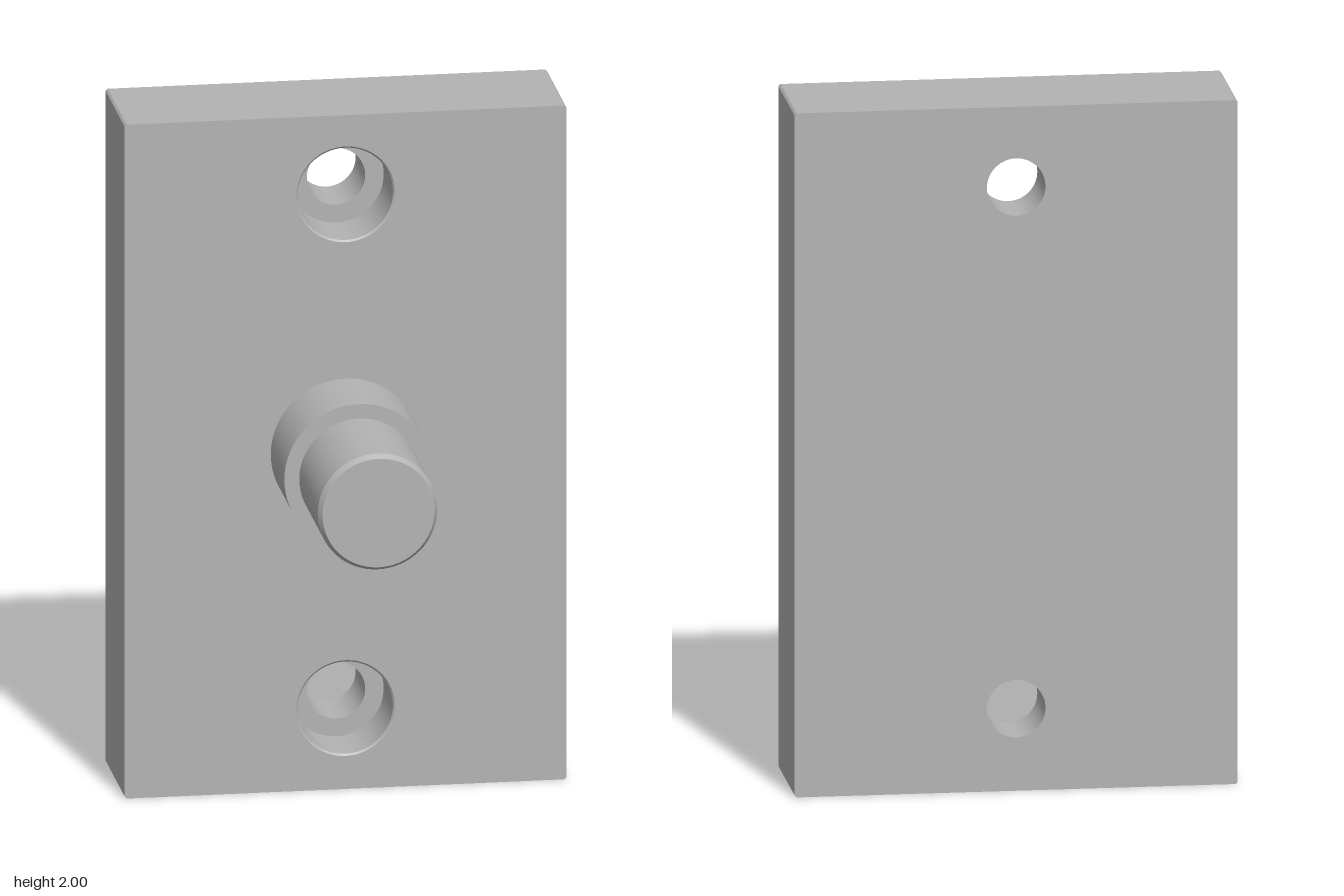
import * as THREE from 'three';
import { mergeGeometries } from 'three/addons/utils/BufferGeometryUtils.js';

const W = 0.635, H = 2, BACK = -0.49, FRONT = -0.13;
const HOLES = [0.24, 1.765];
const BORE = 0.142, THROUGH = 0.084, EDGE = 0.006;

// Revolves a profile of [radius, z] about the z axis, with sharp edges between segments.
// Increasing z faces outward, decreasing z faces inward.
function turned(profile) {
  const bands = [];
  for (let i = 0; i < profile.length - 1; i++) {
    const pts = [profile[i], profile[i + 1]].map(([r, z]) => new THREE.Vector2(r, z));
    bands.push(new THREE.LatheGeometry(pts, 64));
  }
  return mergeGeometries(bands).rotateX(Math.PI / 2);
}

// Rectangle with slightly broken corners, pierced by holes of the given radius
function outline(radius) {
  const s = new THREE.Shape();
  s.moveTo(-W + EDGE, 0).lineTo(W - EDGE, 0).lineTo(W, EDGE).lineTo(W, H - EDGE);
  s.lineTo(W - EDGE, H).lineTo(-W + EDGE, H).lineTo(-W, H - EDGE).lineTo(-W, EDGE);
  s.closePath();
  if (radius) {
    for (const y of HOLES) s.holes.push(new THREE.Path().absarc(0, y, radius, 0, Math.PI * 2, true));
  }
  return s;
}

export function createModel() {
  const steel = new THREE.MeshStandardMaterial({ color: 0xb3b3b3 });
  steel.name = 'grey steel';
  const group = new THREE.Group();
  group.name = 'mountingPlateWithPin';
  const add = (name, geometry, parent = group) => {
    const mesh = new THREE.Mesh(geometry, steel);
    mesh.name = name;
    parent.add(mesh);
    return mesh;
  };

  // Plate: front and back faces with different hole sizes, joined by the rim
  const plate = new THREE.Group();
  plate.name = 'plate';
  group.add(plate);
  add('plateFront', new THREE.ShapeGeometry(outline(BORE), 32).translate(0, 0, FRONT), plate);
  add('plateBack', new THREE.ShapeGeometry(outline(THROUGH), 32).rotateY(Math.PI).translate(0, 0, BACK), plate);

  // Rim: only the side walls of the extruded outline
  const solid = new THREE.ExtrudeGeometry(outline(0), { depth: FRONT - BACK, bevelEnabled: false });
  const walls = solid.groups[1];
  const rim = new THREE.BufferGeometry();
  for (const key of ['position', 'normal']) {
    const part = solid.attributes[key].array.slice(walls.start * 3, (walls.start + walls.count) * 3);
    rim.setAttribute(key, new THREE.BufferAttribute(part, 3));
  }
  add('plateRim', rim.translate(0, 0, BACK), plate);

  // Counterbored screw holes
  const bore = turned([
    [BORE, FRONT], [BORE - 0.005, FRONT - 0.005], [BORE - 0.005, FRONT - 0.18],
    [THROUGH, FRONT - 0.18], [THROUGH, BACK],
  ]);
  for (const y of HOLES) add('screwHole', bore, plate).position.y = y;

  // Collar and chamfered pin
  add('collar', turned([[0.215, FRONT], [0.215, 0.125], [0.172, 0.125]])).position.y = 1.003;
  add('pin', turned([[0.172, 0.125], [0.172, 0.473], [0.161, 0.49], [0, 0.49]])).position.y = 1.003;

  return group;
}
